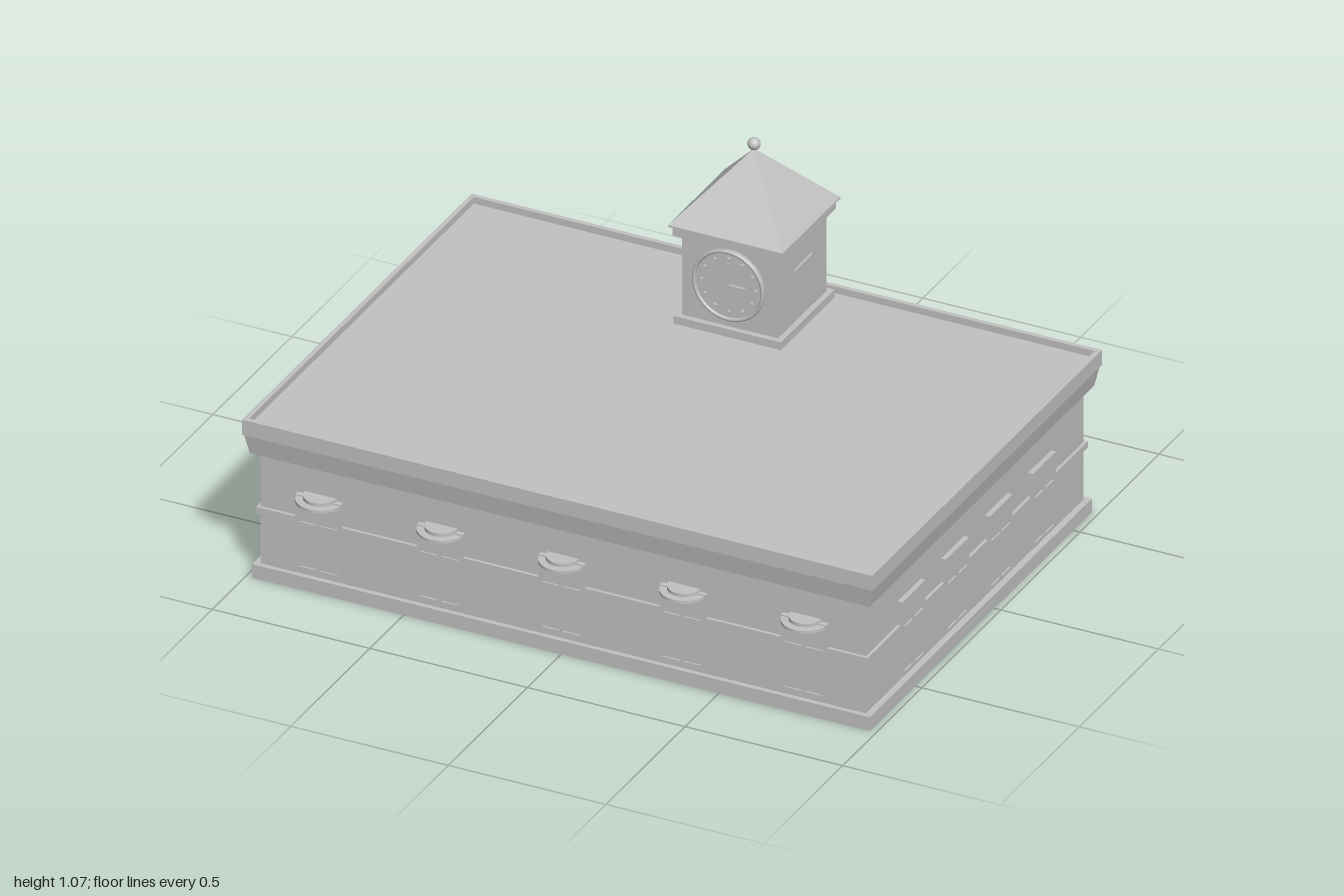
import * as THREE from 'three';

export function createModel() {
  const stone = new THREE.MeshStandardMaterial({ color: 0xc2c2c2 });
  stone.name = 'pale grey';
  const model = new THREE.Group();
  model.name = 'clockTowerHall';

  const add = (parent, name, geometry, x = 0, y = 0, z = 0) => {
    const mesh = new THREE.Mesh(geometry, stone);
    mesh.name = name;
    mesh.position.set(x, y, z);
    parent.add(mesh);
    return mesh;
  };
  // Box given by its centre in x and z, and its bottom and top
  const block = (parent, name, w, d, y0, y1, x = 0, z = 0) =>
    add(parent, name, new THREE.BoxGeometry(w, y1 - y0, d), x, (y0 + y1) / 2, z);
  const group = (name, x = 0, y = 0, z = 0, turn = 0) => {
    const g = new THREE.Group();
    g.name = name;
    g.position.set(x, y, z);
    g.rotation.y = turn;
    model.add(g);
    return g;
  };

  const CZ = 0.086, HX = 0.96, HZ = 0.687;

  // Main building
  block(model, 'plinth', 1.96, 1.404, 0, 0.045, 0, CZ);
  block(model, 'walls', HX * 2, HZ * 2, 0.045, 0.45, 0, CZ);
  block(model, 'stringCourse', HX * 2 + 0.02, HZ * 2 + 0.02, 0.212, 0.232, 0, CZ);

  // Cornice flaring outwards
  const flare = new THREE.BoxGeometry(1.992, 0.065, 1.444);
  const p = flare.attributes.position;
  for (let i = 0; i < p.count; i++) {
    if (p.getY(i) < 0) {
      p.setX(i, Math.sign(p.getX(i)) * 0.983);
      p.setZ(i, Math.sign(p.getZ(i)) * 0.71);
    }
  }
  flare.computeVertexNormals();
  add(model, 'corniceFlare', flare, 0, 0.4425, CZ);
  block(model, 'roof', 1.97, 1.42, 0.47, 0.502, 0, CZ);
  for (const s of [-1, 1]) {
    block(model, 'parapetLong', 2, 0.015, 0.474, 0.523, 0, CZ + s * 0.7185);
    block(model, 'parapetShort', 0.015, 1.422, 0.474, 0.523, s * 0.9925, CZ);
  }

  // Raised frame with four recessed openings, facing +z
  const W = 0.0725, H = 0.122;
  const rect = (Path, x0, y0, x1, y1) => {
    const s = new Path();
    s.moveTo(x0, y0);
    s.lineTo(x1, y0);
    s.lineTo(x1, y1);
    s.lineTo(x0, y1);
    s.closePath();
    return s;
  };
  const frame = rect(THREE.Shape, -W, -H, W, H);
  for (const s of [-1, 1]) {
    const x0 = s < 0 ? -W + 0.012 : 0.006, x1 = s < 0 ? -0.006 : W - 0.012;
    frame.holes.push(rect(THREE.Path, x0, -H + 0.012, x1, 0.022));
    frame.holes.push(rect(THREE.Path, x0, 0.036, x1, H - 0.012));
  }
  const frameGeo = new THREE.ExtrudeGeometry(frame, { depth: 0.016, bevelEnabled: false });
  const hood = (r, h) => new THREE.CylinderGeometry(r, r, h, 24, 1, false, -Math.PI / 2, Math.PI);

  const addWindow = (x, z, turn, hooded) => {
    const g = group('window', x, 0.187, z, turn);
    add(g, 'windowFrame', frameGeo);
    block(g, 'windowPane', W * 2 - 0.01, 0.011, -H + 0.005, H - 0.005, 0, 0.0055);
    if (hooded) {
      add(g, 'hoodShelf', hood(0.072, 0.009), 0, 0.114, 0);
      add(g, 'hoodCap', hood(0.05, 0.011), 0, 0.124, 0);
    }
  };
  for (const x of [-0.77, -0.385, 0, 0.385, 0.77]) addWindow(x, CZ + HZ, 0, true);
  for (const x of [-0.77, -0.55, 0.55, 0.77]) addWindow(x, CZ - HZ, Math.PI, true);
  for (const z of [0.5, 0.225, -0.05, -0.325]) {
    addWindow(HX, z, Math.PI / 2, false);
    addWindow(-HX, z, -Math.PI / 2, false);
  }

  // Rear entrance portico
  const porch = group('portico');
  block(porch, 'platform', 0.6, 0.165, 0, 0.014, 0, -0.6825);
  block(porch, 'step', 0.38, 0.1, 0, 0.007, 0, -0.805);
  block(porch, 'porchBeam', 0.54, 0.12, 0.335, 0.352, 0, -0.66);
  block(porch, 'porchSlab', 0.58, 0.137, 0.352, 0.388, 0, -0.6685);
  block(porch, 'porchCap', 0.46, 0.08, 0.388, 0.418, 0, -0.64);
  for (const x of [-0.225, -0.075, 0.075, 0.225]) {
    add(porch, 'column', new THREE.CylinderGeometry(0.021, 0.023, 0.32, 20), x, 0.175, -0.685);
    block(porch, 'columnBase', 0.056, 0.056, 0.014, 0.036, x, -0.685);
    block(porch, 'columnCapital', 0.054, 0.054, 0.32, 0.336, x, -0.685);
  }
  block(porch, 'doorSurround', 0.2, 0.02, 0.014, 0.29, 0, -0.607);
  for (const s of [-1, 1]) block(porch, 'doorLeaf', 0.078, 0.008, 0.02, 0.25, s * 0.043, -0.619);

  // Round-topped bins either side of the entrance
  const binProfile = [[0, 0], [0.047, 0], [0.047, 0.1], [0.05, 0.1], [0.05, 0.108]]
    .map(([r, y]) => new THREE.Vector2(r, y));
  for (let i = 1; i <= 8; i++) {
    const a = (i / 8) * Math.PI / 2;
    binProfile.push(new THREE.Vector2(0.05 * Math.cos(a), 0.108 + 0.033 * Math.sin(a)));
  }
  for (const s of [-1, 1]) {
    add(model, 'bin', new THREE.LatheGeometry(binProfile, 28), s * 0.465, 0, -0.725);
    block(model, 'binFlap', 0.06, 0.012, 0.075, 0.1, s * 0.465, -0.681);
  }

  // Clock tower
  const tower = group('clockTower', 0, 0, -0.433);
  block(tower, 'towerBase', 0.34, 0.34, 0.49, 0.527);
  block(tower, 'towerShaft', 0.305, 0.305, 0.5, 0.79);
  block(tower, 'towerCornice', 0.345, 0.345, 0.79, 0.82);
  block(tower, 'eave', 0.364, 0.364, 0.82, 0.826);
  const spire = new THREE.ConeGeometry(0.182 * Math.SQRT2, 0.204, 4, 1).toNonIndexed();
  spire.computeVertexNormals();
  add(tower, 'spire', spire, 0, 0.928, 0).rotation.y = Math.PI / 4;
  add(tower, 'finial', new THREE.SphereGeometry(0.019, 20, 14), 0, 1.046, 0);
  for (const s of [-1, 1]) {
    block(tower, 'sidePanel', 0.012, 0.115, 0.545, 0.7, s * 0.1525, 0);

    // Clock faces front and back, hands at a right angle
    const z = s * 0.1525;
    add(tower, 'clockFace', new THREE.CylinderGeometry(0.112, 0.112, 0.02, 40), 0, 0.666, z).rotation.x = Math.PI / 2;
    add(tower, 'clockRim', new THREE.TorusGeometry(0.109, 0.006, 8, 40), 0, 0.666, z + s * 0.011);
    for (let i = 0; i < 12; i++) {
      const a = (i / 12) * Math.PI * 2;
      add(tower, 'hourMark', new THREE.CylinderGeometry(0.007, 0.007, 0.008, 10),
        0.086 * Math.cos(a), 0.666 + 0.086 * Math.sin(a), z + s * 0.013).rotation.x = Math.PI / 2;
    }
    block(tower, 'minuteHand', 0.008, 0.008, 0.662, 0.738, 0, z + s * 0.014);
    add(tower, 'hourHand', new THREE.BoxGeometry(0.056, 0.009, 0.008), 0.026, 0.666, z + s * 0.0135);
  }
  return model;
}
